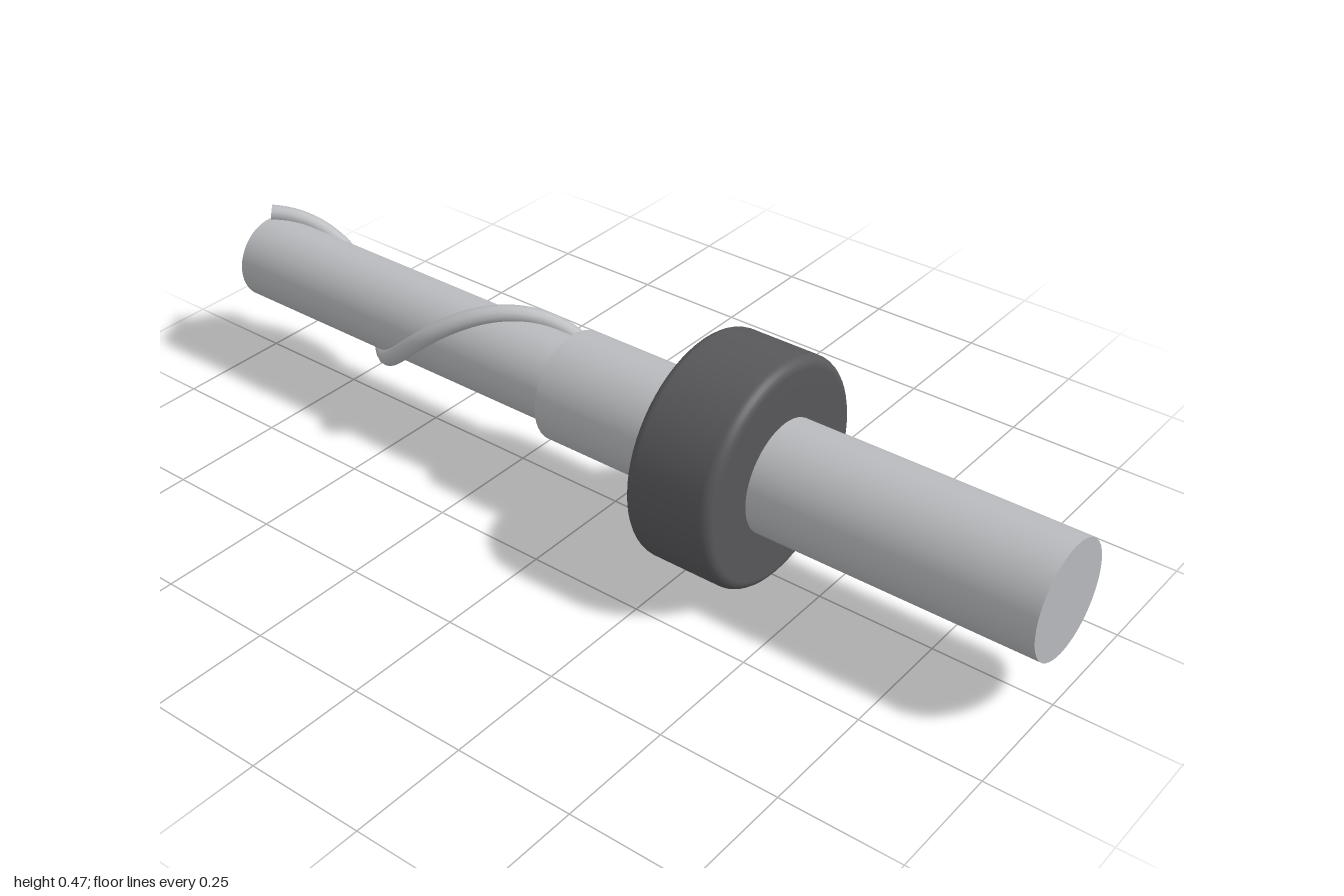
import * as THREE from 'three';

const AXIS_Y = 0.238;

export function createModel() {
  const model = new THREE.Group();
  model.name = 'rotaryTool';

  const steel = new THREE.MeshStandardMaterial({ color: 0xb8babd, side: THREE.DoubleSide });
  steel.name = 'steel';
  const rubber = new THREE.MeshStandardMaterial({ color: 0x58585b });
  rubber.name = 'dark rubber';

  const add = (name, geometry, material) => {
    const mesh = new THREE.Mesh(geometry, material);
    mesh.name = name;
    mesh.position.y = AXIS_Y;
    model.add(mesh);
  };

  // Round bar along z between two ends
  const bar = (radius, zFront, zBack) =>
    new THREE.CylinderGeometry(radius, radius, zFront - zBack, 48)
      .rotateX(Math.PI / 2)
      .translate(0, 0, (zFront + zBack) / 2);

  add('shank', bar(0.118, 1, -0.11), steel);
  add('cuttingCore', bar(0.092, -0.1, -0.98), steel);

  // Collar: a thick ring with rounded rims
  const outer = 0.237, inner = 0.11, half = 0.0975, rim = 0.022;
  const profile = [new THREE.Vector2(inner, -half)];
  for (const side of [-1, 1]) {
    for (let i = 0; i <= 6; i++) {
      const a = (i / 6) * Math.PI / 2 + (side < 0 ? -Math.PI / 2 : 0);
      profile.push(new THREE.Vector2(
        outer - rim + rim * Math.cos(a),
        side * (half - rim) + rim * Math.sin(a)));
    }
  }
  profile.push(new THREE.Vector2(inner, half));
  add('collar', new THREE.LatheGeometry(profile, 64)
    .rotateX(Math.PI / 2).translate(0, 0, 0.3025), rubber);

  // Spiral cutting edge wound around the core
  const zStart = -0.115, zEnd = -0.985, sweep = THREE.MathUtils.degToRad(442);
  const points = [];
  for (let i = 0; i <= 60; i++) {
    const t = i / 60;
    points.push(new THREE.Vector3(
      0.1 * Math.cos(sweep * t),
      0.1 * Math.sin(sweep * t),
      THREE.MathUtils.lerp(zStart, zEnd, t)));
  }
  add('spiralEdge', new THREE.TubeGeometry(
    new THREE.CatmullRomCurve3(points), 120, 0.019, 12), steel);

  return model;
}
